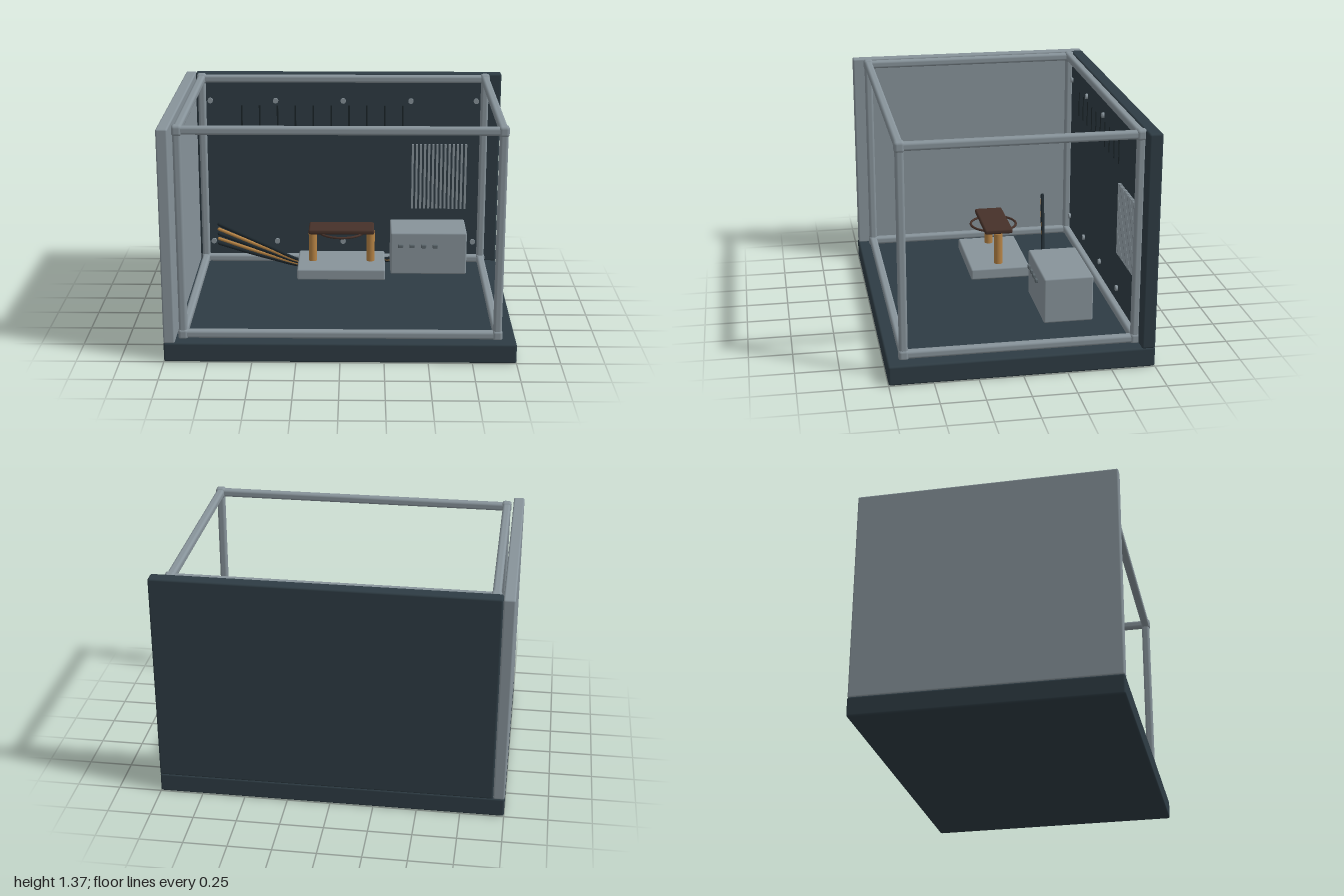
import * as THREE from 'three';
import { RoundedBoxGeometry } from 'three/addons/geometries/RoundedBoxGeometry.js';

const mat = (name, color) => {
  const m = new THREE.MeshStandardMaterial({ color });
  m.name = name;
  return m;
};

export function createModel() {
  const root = new THREE.Group();
  root.name = 'displayEnclosure';

  const steel = mat('steelGrey', 0x87939a);
  const slate = mat('darkSlate', 0x2e3c44);
  const copper = mat('copperTan', 0xb58244);
  const brown = mat('darkBrown', 0x463129);
  const rubber = mat('cableBlack', 0x1c262c);
  const slotDark = mat('slotDark', 0x1a2327);
  const port = mat('portGrey', 0x5c676d);

  const add = (name, geometry, material, x, y, z, parent = root) => {
    const mesh = new THREE.Mesh(geometry, material);
    mesh.name = name;
    mesh.position.set(x, y, z);
    parent.add(mesh);
    return mesh;
  };
  const group = (name) => {
    const g = new THREE.Group();
    g.name = name;
    root.add(g);
    return g;
  };
  // Rounded box given by its limits on each axis
  const block = (name, material, [x0, x1], [y0, y1], [z0, z1], r, parent) =>
    add(name, new RoundedBoxGeometry(x1 - x0, y1 - y0, z1 - z0, 2, r), material,
      (x0 + x1) / 2, (y0 + y1) / 2, (z0 + z1) / 2, parent);

  // Base and walls
  block('base', slate, [-1, 1], [0, 0.115], [-0.75, 0.75], 0.012);
  block('backWall', slate, [-0.935, 1], [0.11, 1.362], [-0.75, -0.672], 0.012);
  block('sideWall', steel, [-1, -0.935], [0.11, 1.36], [-0.748, 0.748], 0.01);

  // Tubular frame with corner joints
  const frame = group('frame');
  const fx = 0.895, fz = 0.655, yLow = 0.137, yHigh = 1.333, t = 0.024;
  for (const y of [yLow, yHigh]) {
    for (const s of [-1, 1]) {
      block('crossBar', steel, [-fx, fx], [y - t, y + t], [s * fz - t, s * fz + t], 0.016, frame);
      block('sideBar', steel, [s * fx - t, s * fx + t], [y - t, y + t], [-fz, fz], 0.016, frame);
      for (const q of [-1, 1]) {
        add('cornerJoint', new RoundedBoxGeometry(0.058, 0.064, 0.058, 3, 0.018), steel,
          s * fx, y, q * fz, frame);
      }
    }
  }
  for (const s of [-1, 1]) for (const q of [-1, 1]) {
    block('post', steel, [s * fx - t, s * fx + t], [yLow, yHigh], [q * fz - t, q * fz + t], 0.016, frame);
  }

  // Pedestal with two pillars, a ring and a plate on top
  const stand = group('stand');
  block('pedestal', steel, [-0.265, 0.262], [0.285, 0.352], [-0.176, 0.176], 0.01, stand);
  for (const s of [-1, 1]) {
    add('pillar', new THREE.CylinderGeometry(0.025, 0.025, 0.19, 24), copper, s * 0.175, 0.445, 0, stand);
  }
  block('topPlate', brown, [-0.198, 0.196], [0.54, 0.57], [-0.085, 0.082], 0.011, stand);
  add('ring', new THREE.TorusGeometry(0.136, 0.007, 10, 64), brown, 0, 0.538, 0, stand)
    .rotation.x = Math.PI / 2;

  // Control box with four ports
  const control = group('controlBox');
  block('housing', steel, [0.3, 0.77], [0.204, 0.473], [-0.442, -0.158], 0.01, control);
  for (let i = 0; i < 4; i++) {
    add('port', new RoundedBoxGeometry(0.032, 0.022, 0.03, 2, 0.005), port,
      0.362 + i * 0.071, 0.389, -0.159, control);
  }

  // Cooling fins on the back wall
  const fins = group('coolingFins');
  for (let i = 0; i < 14; i++) {
    add('fin', new THREE.BoxGeometry(0.013, 0.43, 0.02), steel, 0.447 + i * 0.0262, 0.69, -0.664, fins);
  }

  // Vent slots
  const vents = group('ventSlots');
  for (let i = 0; i < 10; i++) {
    add('ventSlot', new THREE.BoxGeometry(0.01, 0.155, 0.006), slotDark,
      -0.647 + i * 0.114, 1.078, -0.671, vents);
  }

  // Wall screws
  const screws = group('screws');
  for (const y of [1.187, 0.246]) for (const x of [-0.845, -0.43, 0, 0.43, 0.845]) {
    add('screw', new THREE.CylinderGeometry(0.017, 0.017, 0.016, 20), steel, x, y, -0.666, screws)
      .rotation.x = Math.PI / 2;
  }

  // Cable bundle, fanned out at the left end
  const cables = group('cables');
  for (let i = 0; i < 5; i++) {
    const k = i - 2;
    const path = new THREE.CatmullRomCurve3([
      [-0.79, 0.36 + k * 0.032, -0.465],
      [-0.5, 0.268 + k * 0.02, -0.412],
      [-0.21, 0.19 + k * 0.006, -0.362],
      [0.05, 0.178 + k * 0.003, -0.4],
      [0.27, 0.192 + k * 0.003, -0.46],
      [0.45, 0.212 + k * 0.003, -0.45],
    ].map((p) => new THREE.Vector3(...p)));
    const cable = i % 2 ? copper : rubber;
    add('cable', new THREE.TubeGeometry(path, 64, 0.0105, 10), cable, 0, 0, 0, cables);
    add('cableEnd', new THREE.SphereGeometry(0.0105, 10, 8), cable, ...path.getPoint(0).toArray(), cables);
  }

  return root;
}
